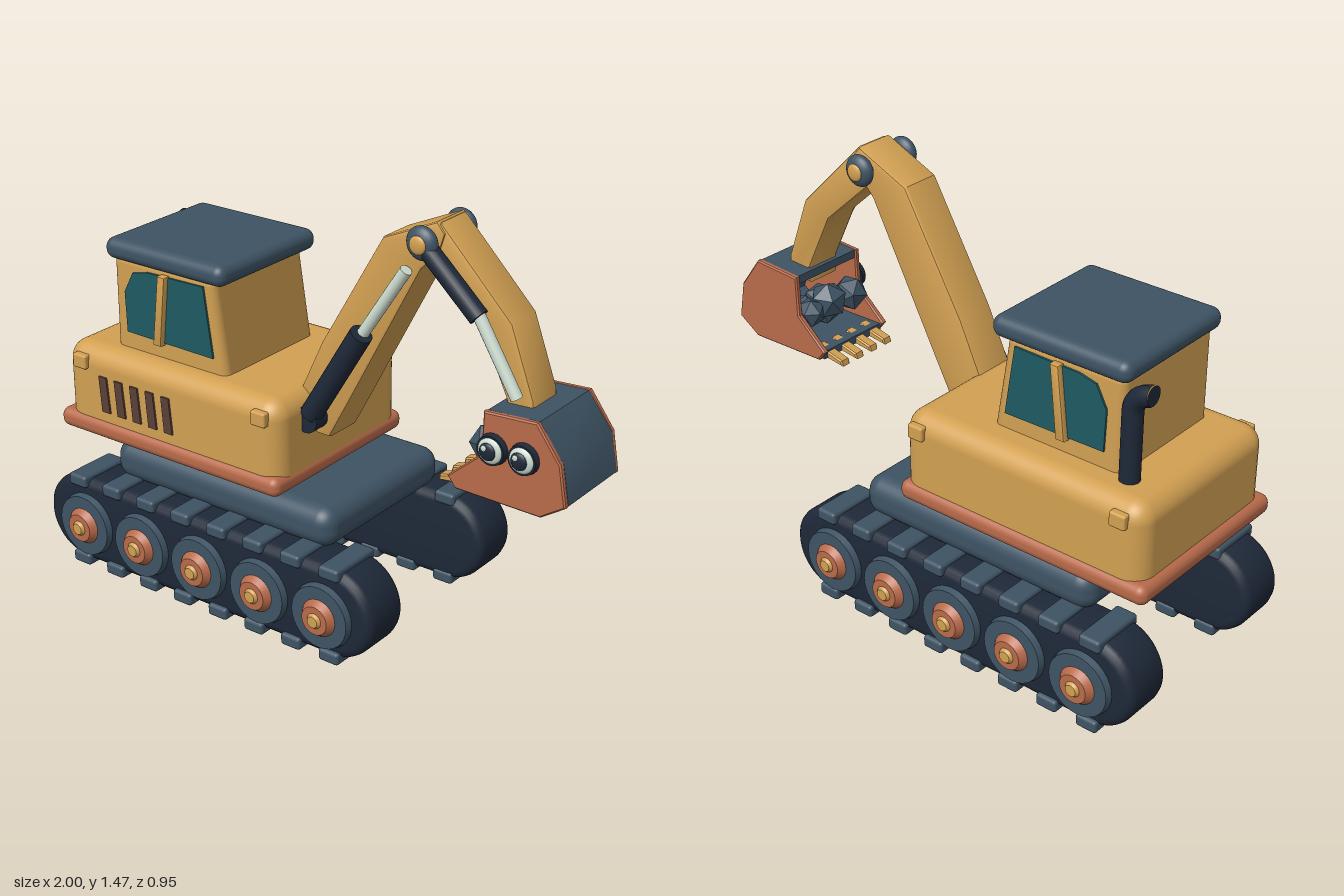
import * as THREE from 'three';
import { toCreasedNormals } from 'three/addons/utils/BufferGeometryUtils.js';
import { RoundedBoxGeometry } from 'three/addons/geometries/RoundedBoxGeometry.js';

const paint = (name, color) => {
  const m = new THREE.MeshStandardMaterial({ color });
  m.name = name;
  return m;
};

export function createModel() {
  const yellow = paint('warm yellow', 0xd2a052);
  const rust = paint('rust red', 0xb86a4a);
  const slate = paint('slate', 0x3e5364);
  const navy = paint('dark navy', 0x1e2838);
  const teal = paint('window teal', 0x1f5a62);
  const brown = paint('vent brown', 0x5c4039);
  const mint = paint('pale mint', 0xcddcd0);

  const model = new THREE.Group();
  model.name = 'excavator';

  const add = (parent, name, geo, mat, x = 0, y = 0, z = 0) => {
    const mesh = new THREE.Mesh(geo, mat);
    mesh.name = name;
    mesh.position.set(x, y, z);
    parent.add(mesh);
    return mesh;
  };
  const group = (name, parent = model) => {
    const g = new THREE.Group();
    g.name = name;
    parent.add(g);
    return g;
  };
  // Rounded box given by its limits
  const block = (parent, name, mat, [x0, x1], [y0, y1], [z0, z1], r) =>
    add(parent, name, new RoundedBoxGeometry(x1 - x0, y1 - y0, z1 - z0, 4, r), mat,
      (x0 + x1) / 2, (y0 + y1) / 2, (z0 + z1) / 2);
  // Side profile extruded from z0 to z1, with a bevel kept inside the outline
  const prism = (outline, z0, z1, bevel = 0, steps = 2) => {
    const shape = outline instanceof THREE.Shape ? outline
      : new THREE.Shape(outline.map(([x, y]) => new THREE.Vector2(x, y)));
    const geo = new THREE.ExtrudeGeometry(shape, {
      depth: z1 - z0 - 2 * bevel, bevelEnabled: bevel > 0, bevelSize: bevel,
      bevelThickness: bevel, bevelOffset: -bevel, bevelSegments: steps, curveSegments: 12,
    });
    geo.translate(0, 0, z0 + bevel);
    return toCreasedNormals(geo, 0.6);
  };
  // Disc facing +z
  const disc = (rFront, rBack, depth, sides = 32) =>
    new THREE.CylinderGeometry(rFront, rBack, depth, sides).rotateX(Math.PI / 2);
  // Straight round bar between two points
  const bar = (parent, name, mat, a, b, r) => {
    const from = new THREE.Vector3(...a), to = new THREE.Vector3(...b);
    const dir = to.clone().sub(from);
    const mesh = add(parent, name, new THREE.CylinderGeometry(r, r, dir.length(), 20), mat);
    mesh.position.copy(from).add(to).multiplyScalar(0.5);
    mesh.quaternion.setFromUnitVectors(new THREE.Vector3(0, 1, 0), dir.normalize());
    return mesh;
  };

  // Tracks: belt, cleats and outer wheels; the second is turned half round
  const belt = new THREE.Shape();
  belt.absarc(0.55, 0.18, 0.16, -Math.PI / 2, Math.PI / 2);
  belt.absarc(-0.55, 0.18, 0.16, Math.PI / 2, Math.PI * 1.5);
  const beltGeo = prism(belt, 0.23, 0.415, 0.03, 3);
  const cleatGeo = new RoundedBoxGeometry(0.08, 0.045, 0.205, 2, 0.012);
  for (const [name, turn] of [['frontTrack', 0], ['rearTrack', Math.PI]]) {
    const track = group(name);
    track.position.x = -0.29;
    track.rotation.y = turn;
    add(track, 'belt', beltGeo, navy);
    for (let i = 0; i < 8; i++) {
      for (const y of [0.0265, 0.332]) add(track, 'cleat', cleatGeo, slate, (i - 3.5) * 0.157, y, 0.328);
    }
    for (let i = -2; i <= 2; i++) {
      add(track, 'wheel', disc(0.11, 0.12, 0.04), slate, i * 0.26, 0.168, 0.418);
      add(track, 'hub', disc(0.05, 0.066, 0.024), rust, i * 0.26, 0.168, 0.45);
      add(track, 'hubCap', disc(0.02, 0.028, 0.012, 20), yellow, i * 0.26, 0.168, 0.467);
    }
  }

  // Turntable deck, skirt and body
  block(model, 'deck', slate, [-0.76, 0.185], [0.33, 0.475], [-0.325, 0.325], 0.06);
  block(model, 'body', yellow, [-0.955, -0.01], [0.46, 0.81], [-0.34, 0.34], 0.07);
  block(model, 'skirt', rust, [-0.98, -0.005], [0.48, 0.55], [-0.355, 0.355], 0.03);
  for (const x of [-0.87, -0.08]) {
    for (const side of [-1, 1]) {
      add(model, 'sideLamp', new RoundedBoxGeometry(0.06, 0.052, 0.03, 2, 0.008), yellow, x, 0.752, side * 0.341);
    }
  }
  for (let i = 0; i < 5; i++) {
    const x = -0.765 + i * 0.071;
    add(model, 'vent', prism([[x - 0.023, 0.715], [x - 0.013, 0.585], [x + 0.023, 0.585], [x + 0.011, 0.715]],
      0.338, 0.347), brown);
  }

  // Cab with a sloping front, side windows and roof
  const cab = group('cab');
  const cabGeo = new RoundedBoxGeometry(0.495, 0.36, 0.47, 4, 0.03);
  const p = cabGeo.attributes.position;
  for (let i = 0; i < p.count; i++) {
    if (p.getX(i) > 0) p.setX(i, p.getX(i) - 0.055 * (p.getY(i) / 0.36 + 0.5));
  }
  add(cab, 'cabShell', cabGeo, yellow, -0.5325, 0.96, 0.02);
  block(cab, 'roof', slate, [-0.805, -0.285], [1.12, 1.195], [-0.235, 0.275], 0.034);
  const pane = [[-0.34, 0.865], [-0.375, 1.11], [-0.62, 1.105], [-0.685, 1.09], [-0.725, 1.015], [-0.72, 0.87]];
  const post = [[-0.587, 0.86], [-0.553, 0.86], [-0.525, 1.112], [-0.557, 1.112]];
  for (const [z, s] of [[0.255, 1], [-0.215, -1]]) {
    const span = (d0, d1) => (s > 0 ? [z + d0, z + d1] : [z - d1, z - d0]);
    add(cab, 'window', prism(pane, ...span(-0.001, 0.007)), teal);
    add(cab, 'windowPost', prism(post, ...span(-0.005, 0.028), 0.006), yellow);
  }

  // Exhaust pipe bent backwards at the top
  const pipe = new THREE.CurvePath();
  const v = (x, y) => new THREE.Vector3(x, y, -0.215);
  pipe.add(new THREE.LineCurve3(v(-0.815, 0.79), v(-0.815, 1.05)));
  pipe.add(new THREE.QuadraticBezierCurve3(v(-0.815, 1.05), v(-0.82, 1.105), v(-0.885, 1.118)));
  add(model, 'exhaust', new THREE.TubeGeometry(pipe, 30, 0.034, 16), navy);
  const mouth = add(model, 'exhaustMouth', new THREE.CircleGeometry(0.034, 16), navy, -0.885, 1.118, -0.215);
  mouth.rotation.y = -Math.PI / 2;

  // Arm: boom, stick and their pins
  const arm = group('arm');
  add(arm, 'boom', prism([[0, 0.65], [0.055, 0.65], [0.13, 0.79], [0.405, 1.31], [0.47, 1.38], [0.49, 1.44],
    [0.46, 1.475], [0.26, 1.385], [0.024, 0.98], [-0.06, 0.8]], -0.005, 0.15, 0.012), yellow);
  add(arm, 'stick', prism([[0.72, 0.9], [0.82, 0.9], [0.815, 0.98], [0.73, 1.21], [0.47, 1.472], [0.4, 1.44],
    [0.41, 1.36], [0.62, 1.17], [0.72, 0.96]], 0.002, 0.143, 0.012), yellow);
  add(arm, 'basePin', disc(0.04, 0.04, 0.24), slate, -0.005, 0.71, 0.0725);
  add(arm, 'elbowPin', disc(0.03, 0.03, 0.24), slate, 0.43, 1.41, 0.0725);
  for (const [z, s] of [[0.18, 1], [-0.032, -1]]) {
    add(arm, 'elbowKnob', new THREE.SphereGeometry(0.055, 24, 16), slate, 0.43, 1.41, z).scale.z = 0.55;
    add(arm, 'elbowCap', new THREE.SphereGeometry(0.03, 20, 12), yellow, 0.43, 1.41, z + s * 0.026).scale.z = 0.35;
  }

  // Hydraulic cylinders on the near side of the arm
  const rams = group('rams', arm);
  bar(rams, 'boomBarrel', navy, [0.01, 0.735, 0.185], [0.21, 1.065, 0.185], 0.038);
  bar(rams, 'boomRod', mint, [0.2, 1.05, 0.175], [0.37, 1.31, 0.175], 0.02);
  bar(rams, 'stickBarrel', navy, [0.45, 1.39, 0.175], [0.635, 1.22, 0.175], 0.032);
  bar(rams, 'stickRod', mint, [0.625, 1.235, 0.17], [0.775, 0.99, 0.17], 0.02);
  add(rams, 'barrelEye', disc(0.045, 0.045, 0.06), navy, 0.005, 0.72, 0.18);

  // Bucket: bent shell between two side plates
  const bucket = group('bucket');
  add(bucket, 'shell', prism([[0.705, 0.955], [0.705, 0.925], [0.865, 0.935], [0.94, 0.84], [0.963, 0.735],
    [0.9, 0.695], [0.59, 0.7], [0.59, 0.67], [0.91, 0.665], [0.995, 0.72], [0.972, 0.85], [0.885, 0.965]],
    -0.07, 0.218), slate);
  const cheek = [[0.7, 0.955], [0.695, 0.81], [0.575, 0.705], [0.605, 0.667], [0.91, 0.662], [0.995, 0.718],
    [0.972, 0.852], [0.887, 0.967]];
  for (const z of [-0.085, 0.215]) add(bucket, 'sidePlate', prism(cheek, z, z + 0.022, 0.005, 1), rust);
  for (let i = 0; i < 4; i++) {
    const z = -0.035 + i * 0.072;
    add(bucket, 'tooth', prism([[0.52, 0.657], [0.64, 0.672], [0.64, 0.705], [0.525, 0.678]],
      z - 0.02, z + 0.02, 0.005, 1), yellow);
  }
  // Rubble in the bucket mouth
  for (const [x, y, z, r] of [[0.68, 0.815, 0.16, 0.065], [0.69, 0.82, 0.06, 0.07], [0.7, 0.8, -0.02, 0.055],
    [0.76, 0.77, 0.1, 0.08], [0.78, 0.77, 0.0, 0.07]]) {
    add(bucket, 'rock', new THREE.IcosahedronGeometry(r, 0), slate, x, y, z).rotation.set(x * 9, y * 7, z * 11);
  }
  // Eyes on the near plate
  for (const x of [0.74, 0.85]) {
    add(bucket, 'eyeRim', disc(0.048, 0.052, 0.022), navy, x, 0.842, 0.246);
    add(bucket, 'eyeWhite', new THREE.SphereGeometry(0.043, 24, 16), mint, x, 0.842, 0.254).scale.z = 0.38;
    add(bucket, 'pupil', new THREE.SphereGeometry(0.029, 20, 12), navy, x - 0.003, 0.842, 0.266).scale.z = 0.35;
    add(bucket, 'eyeGlint', new THREE.SphereGeometry(0.01, 12, 8), mint, x - 0.012, 0.854, 0.274).scale.z = 0.4;
  }
  return model;
}
